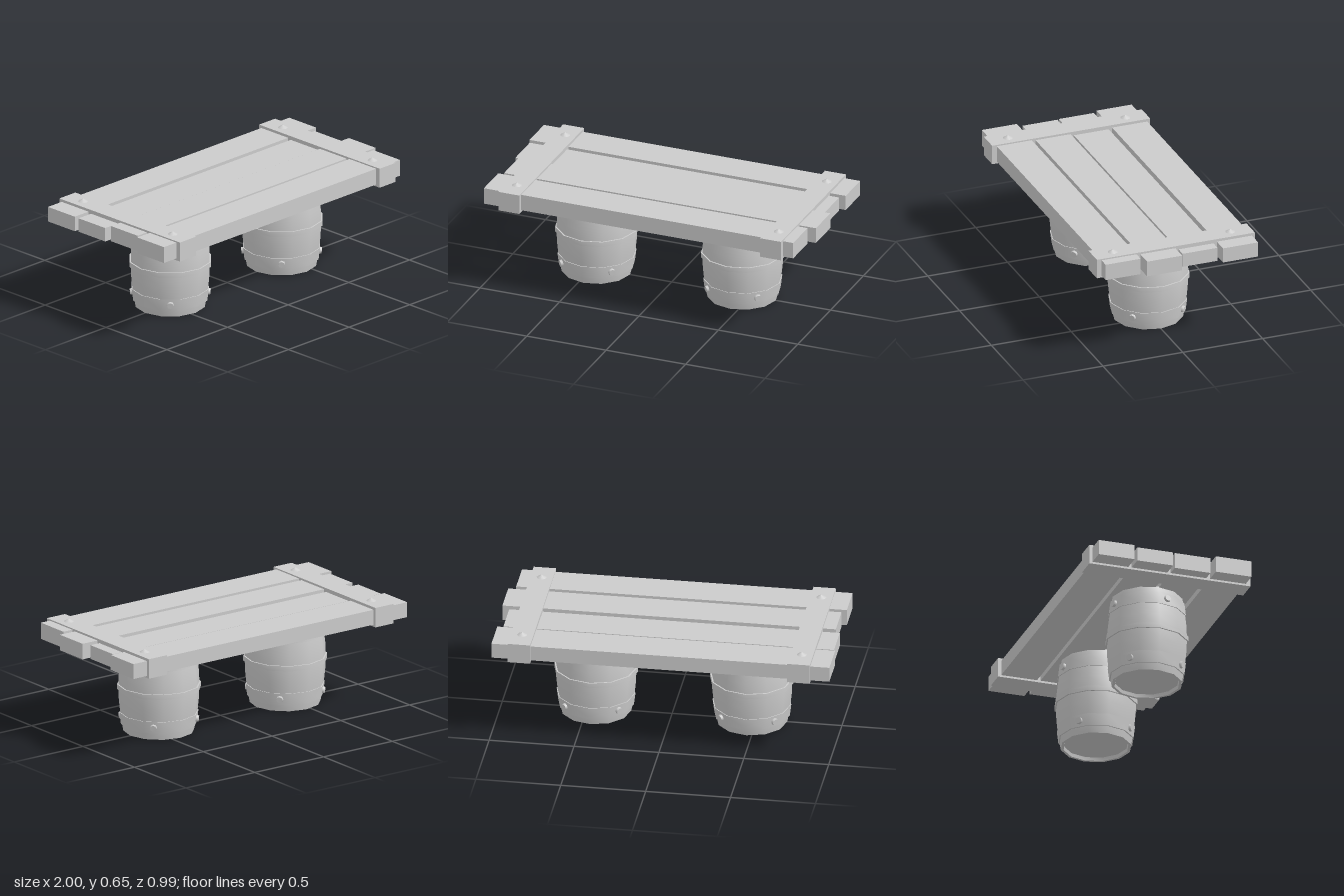
import * as THREE from 'three';
import { toCreasedNormals } from 'three/addons/utils/BufferGeometryUtils.js';

const grey = new THREE.MeshStandardMaterial({ color: 0xcccccc });
const SIDES = 12;

function part(name, geometry, parent, x = 0, y = 0, z = 0) {
  const mesh = new THREE.Mesh(geometry, grey);
  mesh.name = name;
  mesh.position.set(x, y, z);
  parent.add(mesh);
  return mesh;
}

// Box given by its extents on each axis
function slab(name, parent, [x0, x1], [y0, y1], [z0, z1]) {
  return part(name, new THREE.BoxGeometry(x1 - x0, y1 - y0, z1 - z0), parent,
    (x0 + x1) / 2, (y0 + y1) / 2, (z0 + z1) / 2);
}

// Turned shape, smooth around but sharp at profile corners
function turned(profile) {
  const points = profile.map(([r, y]) => new THREE.Vector2(r, y));
  return toCreasedNormals(new THREE.LatheGeometry(points, SIDES), 0.65);
}

function createBarrel() {
  const barrel = new THREE.Group();

  // Staves with a recessed bottom
  part('barrelBody', turned([
    [0, 0.02], [0.188, 0.02], [0.192, 0], [0.208, 0], [0.216, 0.042], [0.227, 0.114],
    [0.235, 0.19], [0.238, 0.27], [0.235, 0.35], [0.227, 0.42], [0.216, 0.497],
    [0.209, 0.535], [0, 0.535],
  ]), barrel);

  // Metal hoops: bottom y, bottom radius, top y, top radius
  for (const [y0, r0, y1, r1] of [
    [0.042, 0.223, 0.114, 0.232],
    [0.255, 0.246, 0.285, 0.246],
    [0.42, 0.232, 0.497, 0.223],
  ]) {
    part('barrelHoop', turned([[r0 - 0.03, y0], [r0, y0], [r1, y1], [r1 - 0.03, y1]]), barrel);
  }

  // Hoop rivets, four per outer hoop
  const rivetGeometry = new THREE.CylinderGeometry(0.019, 0.024, 0.03, 8);
  rivetGeometry.rotateX(Math.PI / 2);
  const rivet = toCreasedNormals(rivetGeometry, 0.9);
  for (const [y, offset, tilt] of [[0.078, Math.PI / 4, 0.12], [0.46, 0.235, -0.12]]) {
    for (let i = 0; i < 4; i++) {
      const a = offset + i * Math.PI / 2;
      const mesh = part('hoopRivet', rivet, barrel, Math.sin(a) * 0.219, y, Math.cos(a) * 0.219);
      mesh.rotation.set(tilt, a, 0, 'YXZ');
    }
  }
  return barrel;
}

export function createModel() {
  const table = new THREE.Group();
  table.name = 'barrelTable';

  // Barrel legs
  for (const [name, x] of [['rightBarrel', -0.47], ['leftBarrel', 0.448]]) {
    const barrel = createBarrel();
    barrel.name = name;
    barrel.position.x = x;
    table.add(barrel);
  }

  // Uneven table planks, back to front
  for (const [x0, x1, top, z0, z1] of [
    [-1, 0.99, 0.621, -0.476, -0.256],
    [-0.99, 0.957, 0.614, -0.235, -0.016],
    [-0.963, 1, 0.625, 0.004, 0.223],
    [-0.99, 0.957, 0.629, 0.247, 0.466],
  ]) slab('plank', table, [x0, x1], [0.53, top], [z0, z1]);

  // Cross battens with low pointed nail heads
  const nail = new THREE.ConeGeometry(0.03, 0.018, 8);
  for (const [x0, x1] of [[-0.887, -0.755], [0.76, 0.892]]) {
    slab('crossBatten', table, [x0, x1], [0.518, 0.637], [-0.495, 0.495]);
    for (const z of [-0.366, 0.37]) part('nailHead', nail, table, (x0 + x1) / 2, 0.646, z);
  }
  return table;
}
